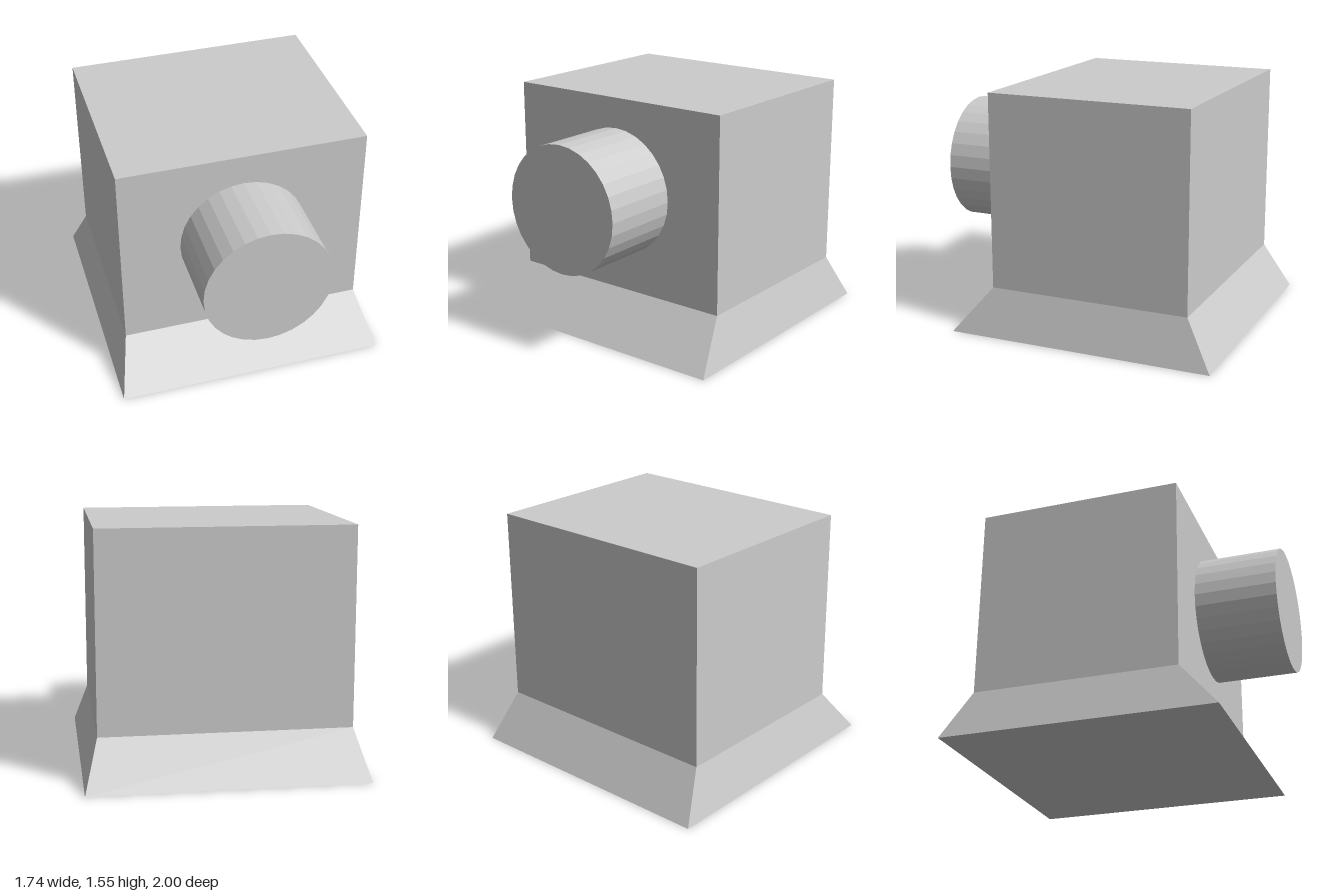
import * as THREE from 'three';

const BODY = { x: 0.783, back: -0.825, front: 0.48, bottom: 0.305, top: 1.55 };
const FOOT = { x: 0.868, back: -1, front: 0.735 };

export function createModel() {
  const group = new THREE.Group();
  const material = new THREE.MeshStandardMaterial({ color: 0xcccccc, flatShading: true });

  const add = (name, geometry) => {
    const mesh = new THREE.Mesh(geometry, material);
    mesh.name = name;
    group.add(mesh);
    return mesh;
  };

  // Box between two levels, each with its own rectangular outline
  const block = (lower, y0, upper, y1) => {
    const geometry = new THREE.BoxGeometry(2, 2, 2);
    const p = geometry.attributes.position;
    for (let i = 0; i < p.count; i++) {
      const isTop = p.getY(i) > 0;
      const r = isTop ? upper : lower;
      p.setXYZ(i, p.getX(i) * r.x, isTop ? y1 : y0, p.getZ(i) > 0 ? r.front : r.back);
    }
    geometry.computeVertexNormals();
    return geometry;
  };

  // Main housing and the flared foot beneath it
  add('body', block(BODY, BODY.bottom, BODY, BODY.top));
  add('flaredBase', block(FOOT, 0, BODY, BODY.bottom));

  // Round barrel projecting from the front face
  const length = 1 - BODY.front;
  const barrel = add('frontBarrel', new THREE.CylinderGeometry(0.405, 0.405, length, 32));
  barrel.rotation.x = Math.PI / 2;
  barrel.position.set(0, 0.953, BODY.front + length / 2);

  return group;
}
